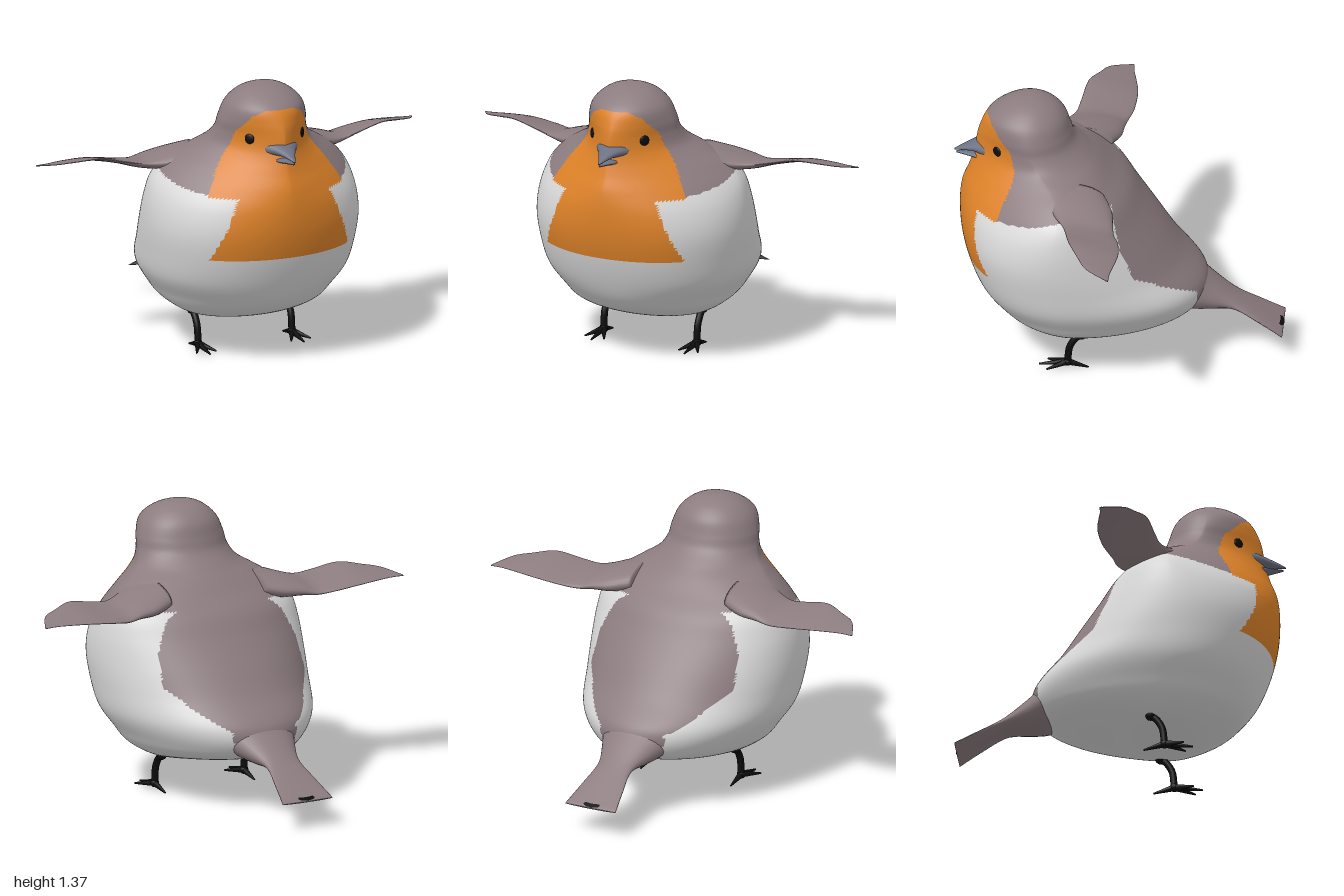
import * as THREE from 'three';

const mat = (name, color) => Object.assign(new THREE.MeshStandardMaterial({ color }), { name });

// Catmull-Rom interpolation through rows of numbers
function sampleRows(keys, count) {
  const rows = [];
  for (let i = 0; i <= count; i++) {
    const u = (i / count) * (keys.length - 1);
    const k = Math.min(Math.floor(u), keys.length - 2), t = u - k;
    const at = n => keys[Math.max(0, Math.min(keys.length - 1, n))];
    rows.push(keys[k].map((_, c) => {
      const a = at(k - 1)[c], b = at(k)[c], d = at(k + 1)[c], e = at(k + 2)[c];
      return b + 0.5 * t * (d - a + t * (2 * a - 5 * b + 4 * d - e + t * (3 * (b - d) + e - a)));
    }));
  }
  return rows;
}

// Piecewise linear lookup in a list of [input, output]
function lookup(table, v) {
  if (v <= table[0][0]) return table[0][1];
  for (let i = 1; i < table.length; i++) {
    const [a, fa] = table[i - 1], [b, fb] = table[i];
    if (v <= b) return fa + (fb - fa) * (v - a) / (b - a);
  }
  return table[table.length - 1][1];
}

// Skin over closed rings that run counter-clockwise about the direction of travel.
// pick(x, y, z) optionally chooses a material index for each triangle.
function loft(rings, pick) {
  const n = rings[0].length;
  const cap = ring => {
    const c = ring.reduce((s, p) => s.add(p), new THREE.Vector3()).divideScalar(n);
    return ring.map(() => c);
  };
  const all = [cap(rings[0]), ...rings, cap(rings[rings.length - 1])];
  const pts = all.flat(), buckets = [[], [], []];
  const add = (a, b, c) => {
    const m = pts[a].clone().add(pts[b]).add(pts[c]).divideScalar(3);
    buckets[pick ? pick(m.x, m.y, m.z) : 0].push(a, b, c);
  };
  for (let i = 0; i < all.length - 1; i++) {
    for (let j = 0; j < n; j++) {
      const a = i * n + j, b = i * n + (j + 1) % n;
      add(a, b, b + n);
      add(a, b + n, a + n);
    }
  }
  const g = new THREE.BufferGeometry().setFromPoints(pts);
  g.setIndex(buckets.flat());
  if (pick) {
    let start = 0;
    buckets.forEach((b, i) => { g.addGroup(start, b.length, i); start += b.length; });
  }
  g.computeVertexNormals();
  return g;
}

const circle = (n, f) => Array.from({ length: n }, (_, j) => {
  const t = (j / n) * Math.PI * 2;
  return f(Math.cos(t), Math.sin(t));
});
const power = (v, e) => Math.sign(v) * Math.pow(Math.abs(v), e);

// Horizontal body sections: y, half width, z of widest point, front z, back z, front roundness
const BODY = [
  [0.16, 0.01, 0.15, 0.16, 0.14, 2], [0.168, 0.15, 0.18, 0.28, 0.07, 2],
  [0.19, 0.28, 0.2, 0.4, -0.03, 2], [0.25, 0.385, 0.2, 0.54, -0.32, 2],
  [0.32, 0.44, 0.2, 0.62, -0.42, 2], [0.42, 0.5, 0.22, 0.68, -0.425, 2.1],
  [0.55, 0.525, 0.25, 0.73, -0.31, 2.1], [0.68, 0.537, 0.28, 0.76, -0.215, 2],
  [0.8, 0.53, 0.28, 0.767, -0.125, 1.8], [0.9, 0.5, 0.27, 0.755, -0.055, 1.55],
  [0.98, 0.43, 0.27, 0.725, 0.03, 1.45], [1.04, 0.34, 0.31, 0.705, 0.09, 1.4],
  [1.09, 0.265, 0.37, 0.692, 0.145, 1.4], [1.15, 0.232, 0.41, 0.685, 0.205, 1.4],
  [1.21, 0.22, 0.425, 0.67, 0.23, 1.55], [1.28, 0.19, 0.43, 0.635, 0.255, 1.9],
  [1.33, 0.14, 0.43, 0.57, 0.3, 2], [1.36, 0.08, 0.425, 0.5, 0.36, 2],
  [1.37, 0.005, 0.42, 0.425, 0.415, 2],
];
// Half width of the orange face and breast by height
const BREAST = [[0.56, 0.37], [0.85, 0.25], [0.866, 0.24], [0.868, 0.355], [0.9, 0.345],
  [1.0, 0.28], [1.1, 0.205], [1.17, 0.185], [1.25, 0.13], [1.28, 0.07]];
// Upper limit of the white flank by z
const FLANK = [[-0.39, 0.41], [-0.2, 0.53], [-0.1, 0.59], [-0.03, 0.75], [0, 0.86],
  [0.02, 0.93], [0.25, 0.945], [0.4, 0.905], [0.53, 0.88], [0.7, 0.865]];

function bodyColour(x, y, z) {
  if (z > 0.45 && y > 0.56 && y < 1.28 && Math.abs(x) < lookup(BREAST, y)) return 2;
  const tailEdge = -0.39 + Math.max(0, 0.32 - y) * 0.7;
  return z > tailEdge && y < lookup(FLANK, z) ? 1 : 0;
}

// Wing sections: x, leading z, trailing z, leading y, trailing y, half thickness
const WING = [
  [0.26, 0.34, 0.05, 1.0, 0.97, 0.06], [0.36, 0.33, 0.01, 0.985, 0.95, 0.055],
  [0.45, 0.28, 0, 0.97, 0.94, 0.04], [0.53, 0.24, -0.01, 0.968, 0.925, 0.024],
  [0.62, 0.22, -0.035, 0.985, 0.935, 0.013], [0.75, 0.195, -0.045, 1.01, 0.95, 0.009],
  [0.86, 0.145, -0.03, 0.995, 0.955, 0.007], [0.94, 0.1, -0.015, 0.98, 0.955, 0.005],
  [1.0, 0, -0.012, 0.956, 0.953, 0.003],
];

// Sections along z: z, centre y, half width, half height
const TAIL = [[-0.3, 0.36, 0.2, 0.09], [-0.38, 0.345, 0.17, 0.1], [-0.45, 0.315, 0.135, 0.075],
  [-0.56, 0.27, 0.094, 0.033], [-0.68, 0.205, 0.115, 0.016], [-0.797, 0.138, 0.14, 0.005]];
const UPPER_BEAK = [[0.59, 1.09, 0.105, 0.055], [0.64, 1.092, 0.088, 0.044], [0.69, 1.09, 0.055, 0.027],
  [0.74, 1.078, 0.028, 0.016], [0.795, 1.06, 0.005, 0.004]];
const LOWER_BEAK = [[0.59, 1.052, 0.09, 0.034], [0.64, 1.046, 0.072, 0.025], [0.69, 1.044, 0.045, 0.015],
  [0.785, 1.046, 0.006, 0.004]];

function alongZ(keys, dir) {
  return loft(sampleRows(keys, 24).map(([z, y, hw, hh]) =>
    circle(28, (c, s) => new THREE.Vector3(dir * c * hw, y + s * hh, z))));
}

export function createModel() {
  const root = new THREE.Group();
  root.name = 'bird';
  const brown = mat('greyBrownFeathers', 0x8c7c80);
  const white = mat('whiteFlank', 0xd8d8d8);
  const orange = mat('orangeBreast', 0xdc8128);
  const slate = mat('slateBeak', 0x6c7182);
  const black = mat('black', 0x0c0c0c);
  const put = (parent, name, geo, m) => {
    const mesh = new THREE.Mesh(geo, m);
    mesh.name = name;
    parent.add(mesh);
    return mesh;
  };

  // Body and head in one smooth skin with three plumage regions
  const bodyGeo = loft(sampleRows(BODY, 180).map(([y, w, zm, zf, zb, n]) =>
    circle(180, (c, s) => {
      const e = c > 0 ? 2 / n : 1;
      return new THREE.Vector3(w * power(s, e), y, zm + power(c, e) * (c > 0 ? zf - zm : zm - zb));
    })), bodyColour);
  put(root, 'body', bodyGeo, [brown, white, orange]);

  // Tail with its small dark tip mark
  put(root, 'tail', alongZ(TAIL, -1), brown);
  const mark = put(root, 'tailMark', new THREE.CylinderGeometry(0.045, 0.02, 0.008, 12), black);
  mark.scale.z = 0.4;
  mark.position.set(0, 0.148, -0.783);
  mark.rotation.x = -0.52;

  // Slightly open beak
  put(root, 'upperBeak', alongZ(UPPER_BEAK, 1), slate);
  put(root, 'lowerBeak', alongZ(LOWER_BEAK, 1), slate);

  // Point on the face where the left eye sits
  const pos = bodyGeo.attributes.position, nor = bodyGeo.attributes.normal;
  let best = 0, bestD = Infinity;
  for (let i = 0; i < pos.count; i++) {
    const d = Math.hypot(pos.getX(i) - 0.143, pos.getY(i) - 1.138);
    if (pos.getZ(i) > 0.45 && d < bestD) { bestD = d; best = i; }
  }
  const eyeAt = new THREE.Vector3().fromBufferAttribute(pos, best);
  const eyeOut = new THREE.Vector3().fromBufferAttribute(nor, best);

  const wingGeo = loft(sampleRows(WING, 40).map(([x, zl, zt, yl, yt, th]) =>
    circle(32, (c, s) => {
      const f = (s + 1) / 2;
      return new THREE.Vector3(x, yt + (yl - yt) * f + c * th, zt + (zl - zt) * f);
    })));
  const shin = new THREE.CatmullRomCurve3([[0.25, 0.19, 0.15], [0.25, 0.172, 0.185],
    [0.25, 0.12, 0.22], [0.25, 0.03, 0.232]].map(p => new THREE.Vector3(...p)));
  const ankle = new THREE.Vector3(0.25, 0.033, 0.232);
  const toes = [[0.2, 0.014, 0.33], [0.25, 0.014, 0.37], [0.303, 0.016, 0.33], [0.25, 0.005, 0.13]];

  // Paired parts, mirrored across x
  for (const [name, sx] of [['left', 1], ['right', -1]]) {
    const side = new THREE.Group();
    side.name = name + 'Side';
    side.scale.x = sx;
    root.add(side);

    put(side, name + 'Wing', wingGeo, brown);

    const eye = put(side, name + 'Eye', new THREE.SphereGeometry(0.025, 20, 12), black);
    eye.position.copy(eyeAt);
    eye.quaternion.setFromUnitVectors(new THREE.Vector3(0, 0, 1), eyeOut);
    eye.scale.z = 0.3;

    put(side, name + 'Leg', new THREE.TubeGeometry(shin, 20, 0.017, 12), black);
    put(side, name + 'Hip', new THREE.SphereGeometry(0.026, 14, 10), black).position.set(0.25, 0.188, 0.165);
    put(side, name + 'Ankle', new THREE.SphereGeometry(0.022, 14, 10), black).position.copy(ankle);
    for (const t of toes) {
      const tip = new THREE.Vector3(...t), dir = tip.clone().sub(ankle);
      const toe = put(side, name + 'Toe', new THREE.CylinderGeometry(0.004, 0.017, dir.length(), 10), black);
      toe.position.copy(ankle).add(tip).multiplyScalar(0.5);
      toe.quaternion.setFromUnitVectors(new THREE.Vector3(0, 1, 0), dir.normalize());
    }
  }
  return root;
}
